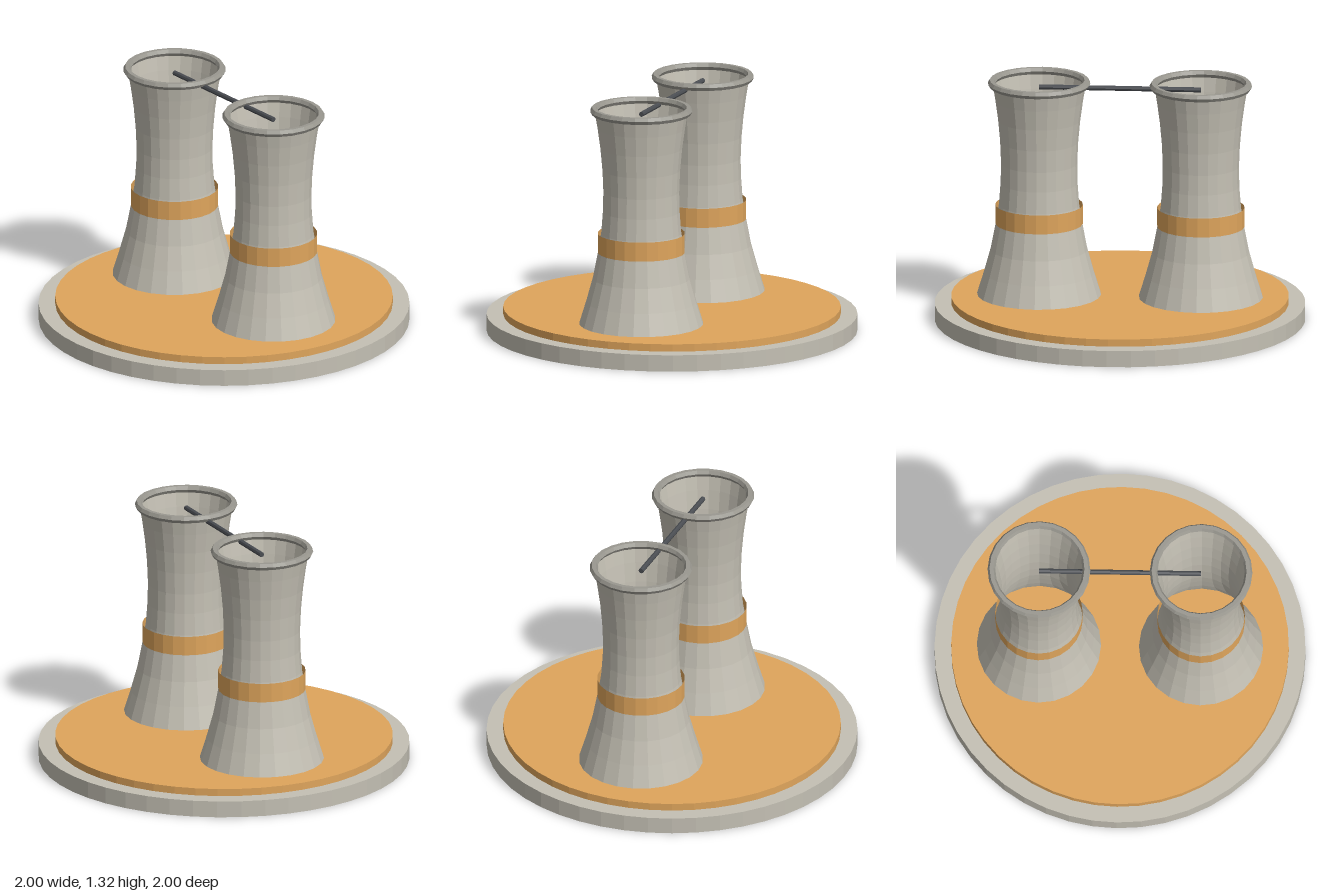
import * as THREE from 'three';

const material = (color, side = THREE.FrontSide) =>
  new THREE.MeshStandardMaterial({ color, side, flatShading: true });

const stone = material(0xc4c0b4);
const shell = material(0xc4c0b4, THREE.DoubleSide);
const rimGrey = material(0x9a9890);
const ochre = material(0xdfa55c);
const ochreThin = material(0xdfa55c, THREE.DoubleSide);
const steel = material(0x4a4d52);

function part(parent, name, geometry, mat, x = 0, y = 0, z = 0) {
  const mesh = new THREE.Mesh(geometry, mat);
  mesh.name = name;
  mesh.position.set(x, y, z);
  parent.add(mesh);
  return mesh;
}

// Hyperbolic cooling tower: open shell, painted band and rolled rim
function createTower(name, x) {
  const tower = new THREE.Group();
  tower.name = name;
  tower.position.x = x;

  const profile = [
    [0.335, 0.13], [0.298, 0.25], [0.262, 0.38], [0.235, 0.52], [0.217, 0.63],
    [0.208, 0.75], [0.206, 0.86], [0.211, 0.98], [0.222, 1.1], [0.237, 1.21], [0.253, 1.305],
  ].map(([r, y]) => new THREE.Vector2(r, y));
  part(tower, 'towerShell', new THREE.LatheGeometry(profile, 24), shell);

  part(tower, 'towerBand', new THREE.CylinderGeometry(0.236, 0.236, 0.105, 24, 1, true), ochreThin, 0, 0.577);

  const rim = new THREE.TorusGeometry(0.256, 0.021, 6, 24).rotateX(Math.PI / 2);
  part(tower, 'towerRim', rim, rimGrey, 0, 1.306);
  return tower;
}

export function createModel() {
  const model = new THREE.Group();
  model.name = 'coolingTowers';

  // Stepped round base
  part(model, 'base', new THREE.CylinderGeometry(1, 1, 0.09, 48), stone, 0, 0.045);
  part(model, 'deck', new THREE.CylinderGeometry(0.91, 0.91, 0.04, 48), ochre, 0, 0.11);

  // Twin towers
  model.add(createTower('leftTower', 0.437), createTower('rightTower', -0.437));

  // Rod joining the tower tops
  const rod = new THREE.CylinderGeometry(0.014, 0.014, 0.874, 8).rotateZ(Math.PI / 2);
  part(model, 'connectingRod', rod, steel, 0, 1.285);

  return model;
}
